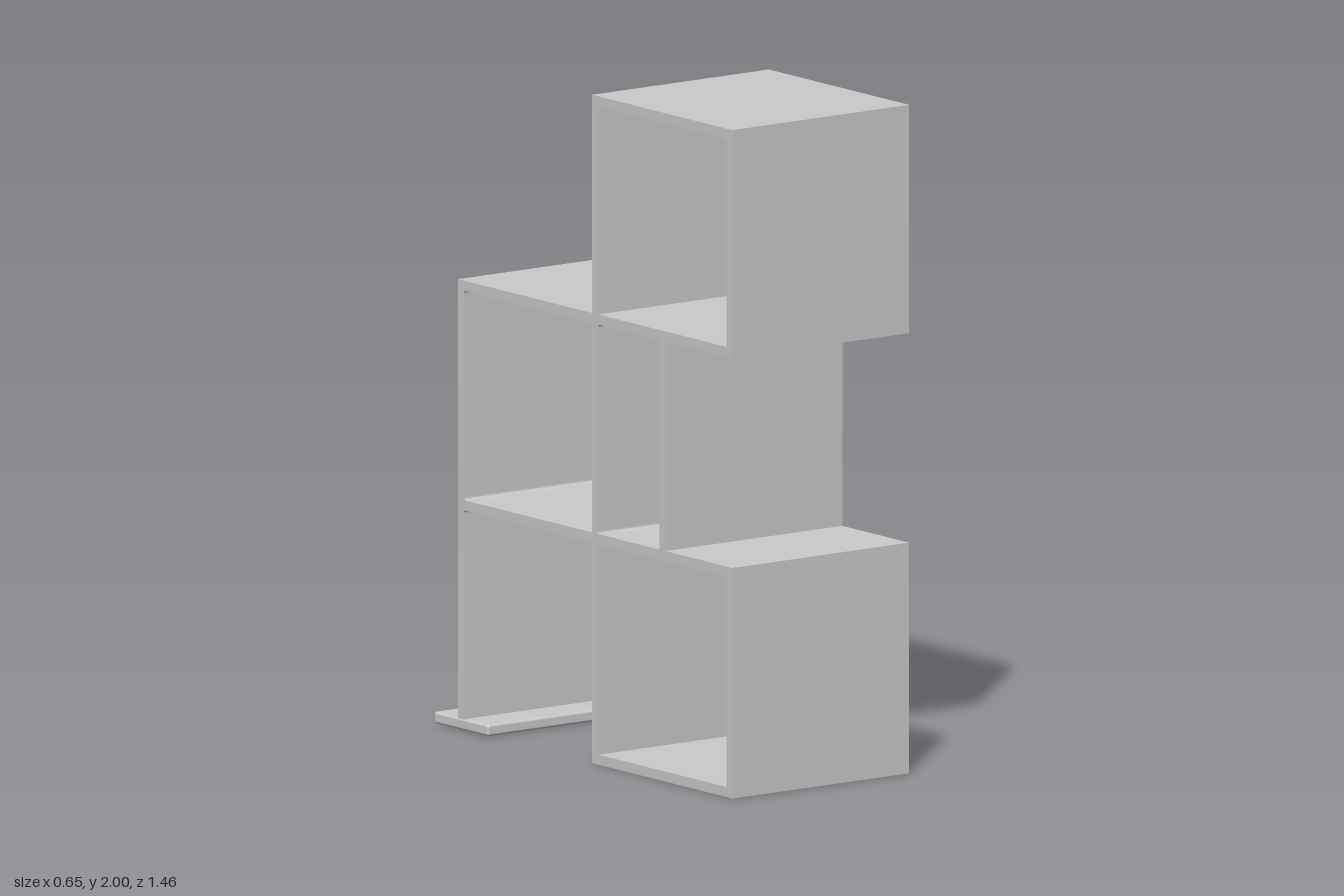
import * as THREE from 'three';
import { RoundedBoxGeometry } from 'three/addons/geometries/RoundedBoxGeometry.js';

const WIDTH = 0.65;

export function createModel() {
  const model = new THREE.Group();
  const material = new THREE.MeshStandardMaterial({ color: 0xcccccc });

  const add = (name, geometry) => {
    const mesh = new THREE.Mesh(geometry, material);
    mesh.name = name;
    model.add(mesh);
    return mesh;
  };

  // A full-width panel spanning y0..y1 and z0..z1
  const panel = (name, y0, y1, z0, z1) =>
    add(name, new THREE.BoxGeometry(WIDTH, y1 - y0, z1 - z0))
      .position.set(0, (y0 + y1) / 2, (z0 + z1) / 2);

  // Horizontal boards
  panel('bottomBoard', 0, 0.03, 0.045, 0.73);
  panel('lowerShelf', 0.66, 0.69, -0.58, 0.73);
  panel('upperShelf', 1.317, 1.347, -0.61, 0.73);
  panel('topBoard', 1.97, 2, 0.045, 0.73);

  // Upright boards of the three stacked bays
  panel('lowerFrontPanel', 0.03, 0.66, 0.7, 0.73);
  panel('upperFrontPanel', 1.347, 1.97, 0.7, 0.73);
  panel('lowerMiddlePanel', 0.03, 0.66, 0.045, 0.075);
  panel('centreMiddlePanel', 0.69, 1.317, 0.045, 0.075);
  panel('upperMiddlePanel', 1.347, 1.97, 0.045, 0.075);
  panel('frontDivider', 0.69, 1.317, 0.373, 0.403);
  panel('backLeg', 0.033, 1.317, -0.61, -0.58);

  // Rounded foot plate under the back leg
  add('foot', new RoundedBoxGeometry(WIDTH, 0.035, 0.264, 3, 0.008))
    .position.set(0, 0.0175, -0.597);

  // Small fillets in the inner corners; dz and dy point into the open bay
  const fillet = (y, z, dy, dz, r = 0.009) => {
    const shape = new THREE.Shape();
    shape.moveTo(-z, y);
    shape.lineTo(-z - dz * r, y);
    shape.quadraticCurveTo(-z, y, -z, y + dy * r);
    const geometry = new THREE.ExtrudeGeometry(shape, { depth: WIDTH, bevelEnabled: false, curveSegments: 4 });
    geometry.rotateY(Math.PI / 2).translate(-WIDTH / 2, 0, 0);
    add('cornerFillet', geometry);
  };
  for (const [z, dz] of [[-0.58, 1], [0.045, -1], [0.075, 1], [0.373, -1]]) {
    fillet(0.69, z, 1, dz);
    fillet(1.317, z, -1, dz);
  }
  fillet(0.66, -0.58, -1, 1);
  fillet(0.66, 0.045, -1, -1);

  return model;
}
